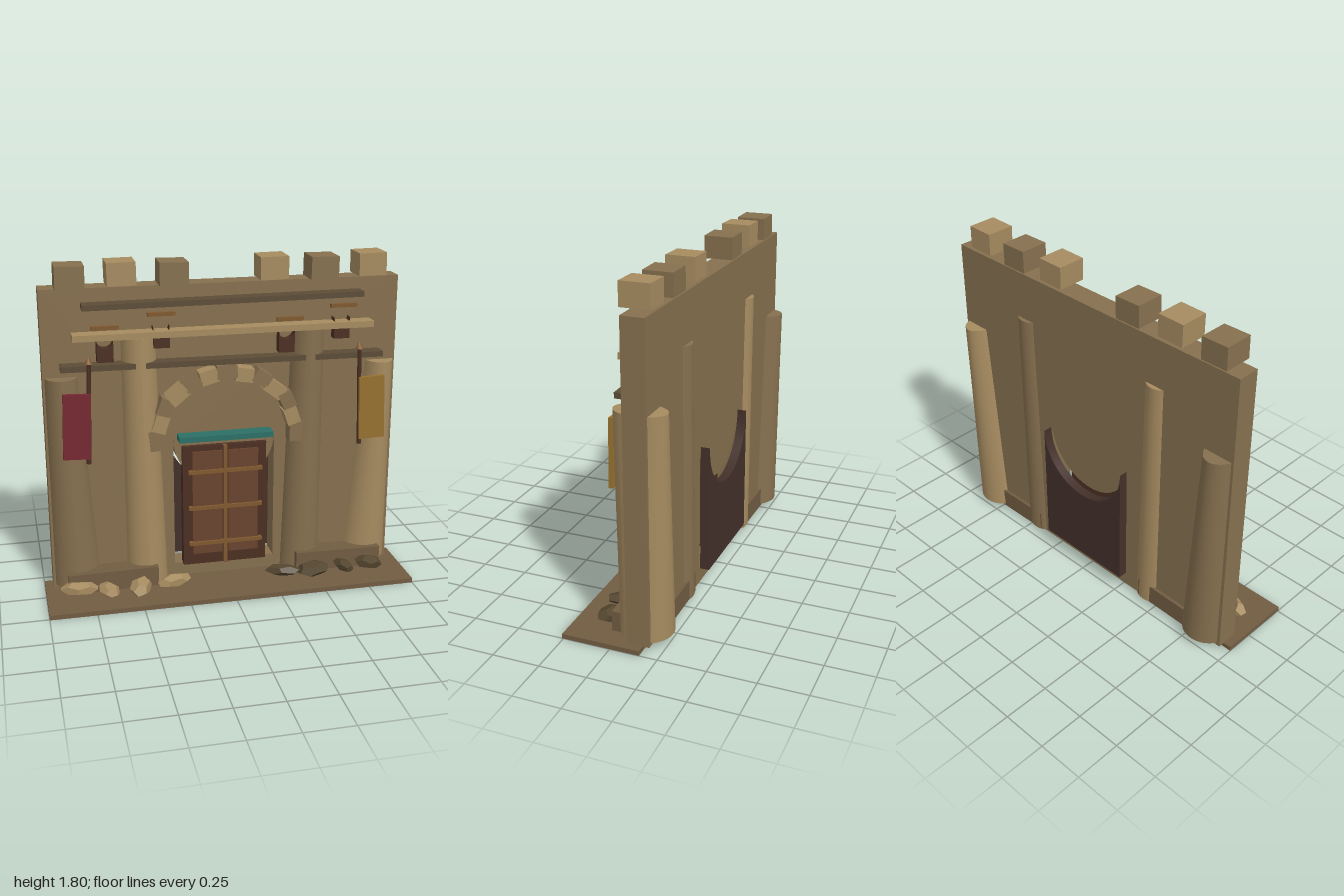
import * as THREE from 'three';

const C = {
  stone: 0x86704f, light: 0xa68b60, dark: 0x5c4c37, base: 0x715c42, wood: 0x4c2f22, panel: 0x69432d,
  trim: 0x80592f, recess: 0x43302a, teal: 0x2b7066, red: 0x762832, gold: 0x96712f, rockDark: 0x54462f,
};

export function createModel() {
  const root = new THREE.Group();

  const add = (name, geometry, color, x = 0, y = 0, z = 0, rz = 0, flatShading = false) => {
    const mesh = new THREE.Mesh(geometry, new THREE.MeshStandardMaterial({ color, flatShading }));
    mesh.name = name;
    mesh.position.set(x, y, z);
    mesh.rotation.z = rz;
    root.add(mesh);
    return mesh;
  };
  // box given by its limits on each axis
  const block = (name, color, [x0, x1], [y0, y1], [z0, z1], rz = 0) =>
    add(name, new THREE.BoxGeometry(x1 - x0, y1 - y0, z1 - z0), color,
      (x0 + x1) / 2, (y0 + y1) / 2, (z0 + z1) / 2, rz);
  // upright slab whose top edge is a hollow half circle
  const hollowTop = (path, half, bottom, top) => {
    path.moveTo(-half, bottom);
    path.lineTo(half, bottom);
    path.lineTo(half, top);
    path.absarc(0, top, half, 0, -Math.PI, true);
    path.lineTo(-half, bottom);
    return path;
  };
  const extrude = (shape, depth) =>
    new THREE.ExtrudeGeometry(shape, { depth, bevelEnabled: false, curveSegments: 24 });

  // ground slab and main wall with its doorway opening
  block('groundSlab', C.base, [-1, 1], [0, 0.025], [-0.155, 0.257]);
  const wall = new THREE.Shape([[-0.955, 0.025], [0.955, 0.025], [0.955, 1.67], [-0.955, 1.67]]
    .map(([x, y]) => new THREE.Vector2(x, y)));
  wall.holes.push(hollowTop(new THREE.Path(), 0.28, 0.1, 0.83));
  add('wall', extrude(wall, 0.12), C.stone, 0, 0, -0.19);
  add('doorRecess', extrude(hollowTop(new THREE.Shape(), 0.285, 0.11, 0.81), 0.05), C.recess, 0, 0, -0.245);

  // battlements
  [-0.797, -0.537, -0.267, 0.262, 0.535, 0.797].forEach((x, i) => {
    const lit = i % 2;
    add('battlement', new THREE.BoxGeometry(0.15, 0.12, 0.155), lit ? C.light : C.stone,
      x, lit ? 1.74 : 1.73, -0.105, lit ? 0.015 : -0.015);
  });

  // columns: the outer edge is upright and the inner edge slopes outwards
  const column = (side, outer, r, topWidth, y0, y1, z, color) => {
    const g = new THREE.CylinderGeometry(r, r, y1 - y0, 32, 8);
    const p = g.attributes.position;
    for (let i = 0; i < p.count; i++) {
      const t = p.getY(i) / (y1 - y0) + 0.5;
      const width = THREE.MathUtils.lerp(2 * r, topWidth, t);
      p.setX(i, side * (outer - width / 2) + p.getX(i) * width / (2 * r));
    }
    g.computeVertexNormals();
    add('column', g, color, 0, (y0 + y1) / 2, z);
  };
  column(-1, 0.953, 0.135, 0.185, 0.04, 1.21, -0.125, C.stone);
  column(1, 0.953, 0.135, 0.17, 0.04, 1.21, -0.125, C.light);
  column(-1, 0.55, 0.115, 0.187, 0.03, 1.41, -0.1, C.light);
  column(1, 0.55, 0.115, 0.185, 0.03, 1.41, -0.1, C.stone);

  // plinths running through the wall foot
  for (const s of [-1, 1]) {
    add('plinth', new THREE.BoxGeometry(0.49, 0.11, 0.25), C.base, s * 0.635, 0.083, -0.083, -s * 0.015);
  }

  // long horizontal beams
  block('topBeam', C.dark, [-0.745, 0.74], [1.573, 1.602], [-0.07, 0.012], 0.006);
  block('middleBeam', C.light, [-0.8, 0.8], [1.412, 1.445], [-0.07, 0.015]);
  block('lowerBeam', C.dark, [-0.865, 0.86], [1.25, 1.28], [-0.07, 0.01], -0.006);

  // thin trim strips between the beams
  for (const [x, y] of [[-0.343, 1.535], [0.632, 1.535], [-0.633, 1.477], [0.34, 1.477]]) {
    add('trimStrip', new THREE.BoxGeometry(0.145, 0.02, 0.02), C.trim, x, y, 0);
  }

  // notched plaques behind the middle beam
  for (const [x, y] of [[-0.633, 1.29], [-0.34, 1.35], [0.33, 1.29], [0.633, 1.35]]) {
    add('plaque', extrude(hollowTop(new THREE.Shape(), 0.043, 0, 0.115), 0.05), C.wood, x, y, -0.07);
  }

  // ring of tilted arch stones
  const wobble = [0, 0.08, -0.1, 0.14, -0.06, 0.1, 0.04];
  for (let i = 0; i <= 12; i++) {
    const a = (i * Math.PI) / 12;
    const r = i % 2 ? 0.37 : 0.382;
    add('archStone', new THREE.BoxGeometry(0.075, i % 3 ? 0.095 : 0.11, 0.09), i % 2 ? C.light : C.stone,
      r * Math.cos(a), 0.855 + r * 0.93 * Math.sin(a), -0.03, a + wobble[i % 7]);
  }

  // door and lintel
  block('lintel', C.teal, [-0.26, 0.255], [0.833, 0.863], [-0.08, 0.015]);
  block('doorFrame', C.wood, [-0.235, 0.23], [0.095, 0.79], [-0.1, -0.045]);
  block('doorPost', C.trim, [-0.012, 0.008], [0.1, 0.79], [-0.06, -0.02]);
  for (const x of [-0.1, 0.1]) {
    block('doorPanel', C.panel, [x - 0.083, x + 0.083], [0.16, 0.76], [-0.08, -0.035]);
    for (const y of [0.225, 0.435, 0.645]) {
      block('doorRail', C.trim, [x - 0.105, x + 0.105], [y - 0.01, y + 0.01], [-0.06, -0.022]);
    }
  }

  // hanging banners on poles with pointed tips
  for (const [s, color] of [[-1, C.red], [1, C.gold]]) {
    const tilt = s * 0.035;
    add('banner', new THREE.BoxGeometry(0.143, 0.35, 0.022), color, s * 0.798, 0.97, 0.03, tilt);
    add('bannerPole', new THREE.CylinderGeometry(0.011, 0.013, 0.54, 8), C.wood, s * 0.732, 1.03, 0.015, tilt);
    add('poleTip', new THREE.ConeGeometry(0.022, 0.045, 8), C.trim, s * 0.722, 1.32, 0.015, tilt);
  }

  // faceted rocks: x, z, width, height, depth, turn
  const rocks = [
    [-0.825, 0.06, 0.2, 0.07, 0.1, -0.15], [-0.67, 0.105, 0.1, 0.055, 0.16, 0.3],
    [-0.5, 0.11, 0.11, 0.09, 0.18, -0.35], [-0.31, 0.075, 0.19, 0.07, 0.09, 0.3],
    [0.3, 0.08, 0.2, 0.06, 0.08, -0.3], [0.47, 0.1, 0.19, 0.08, 0.12, 0.25],
    [0.65, 0.095, 0.08, 0.06, 0.15, 0.3], [0.8, 0.085, 0.15, 0.07, 0.11, -0.4],
  ];
  rocks.forEach(([x, z, w, h, d, turn], i) => {
    const g = new THREE.DodecahedronGeometry(0.53, 0);
    g.rotateX(i * 0.7).rotateZ(i * 1.1).scale(w, h, d);
    add('rock', g, x < 0 ? C.light : C.rockDark, x, 0.068, z, 0, true).rotation.y = turn;
  });

  return root;
}
